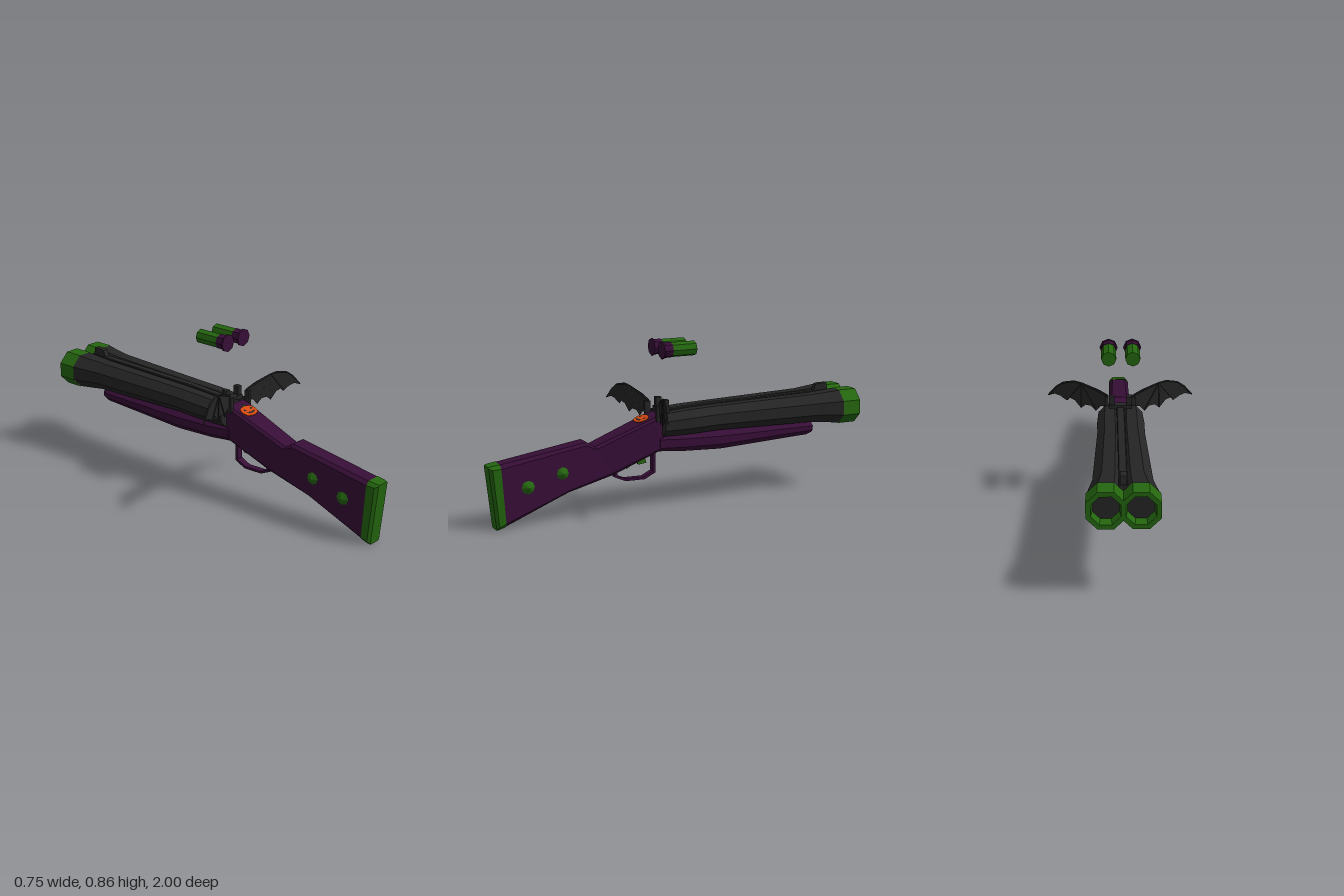
import * as THREE from 'three';

const mat = (name, color, side = THREE.FrontSide) => {
  const m = new THREE.MeshStandardMaterial({ color, flatShading: true, side });
  m.name = name;
  return m;
};

// Skin a list of rings running toward -z; each ring is counter-clockwise seen from +z
function loft(rings, capped = true) {
  const out = [];
  const tri = (...p) => p.forEach(v => out.push(...v));
  const n = rings[0].length;
  for (let i = 0; i < rings.length - 1; i++) {
    for (let j = 0; j < n; j++) {
      const k = (j + 1) % n;
      const [a, b, c, d] = [rings[i][j], rings[i][k], rings[i + 1][k], rings[i + 1][j]];
      tri(a, d, c);
      tri(a, c, b);
    }
  }
  if (capped) {
    const s = rings[0], e = rings[rings.length - 1];
    for (let j = 1; j < n - 1; j++) {
      tri(s[0], s[j], s[j + 1]);
      tri(e[0], e[j + 1], e[j]);
    }
  }
  const g = new THREE.BufferGeometry();
  g.setAttribute('position', new THREE.Float32BufferAttribute(out, 3));
  g.computeVertexNormals();
  return g;
}

// Chamfered box section, slanted between a top and a bottom point
function section(zt, yt, zb, yb, w, c = 0.012) {
  const d = c / (yt - yb), i = w - c;
  return [[i, 0], [w, d], [w, 1 - d], [i, 1], [-i, 1], [-w, 1 - d], [-w, d], [-i, 0]]
    .map(([x, t]) => [x, yb + (yt - yb) * t, zb + (zt - zb) * t]);
}

// Octagonal ring with flat sides; r is measured to the flats
function octagon(z, cx, cy, r) {
  const R = r / Math.cos(Math.PI / 8);
  return Array.from({ length: 8 }, (_, i) => {
    const a = (i + 0.5) * Math.PI / 4;
    return [cx + R * Math.cos(a), cy + R * Math.sin(a), z];
  });
}

const shapeOf = pts => new THREE.Shape(pts.map(p => new THREE.Vector2(...p)));

// Extrude a [z, y] side outline, centred across x
function sidePlate(pts, width, hole) {
  const flip = list => list.map(([z, y]) => [-z, y]);
  const s = shapeOf(flip(pts));
  if (hole) s.holes.push(shapeOf(flip(hole)));
  const g = new THREE.ExtrudeGeometry(s, { depth: width, bevelEnabled: false });
  return g.translate(0, 0, -width / 2).rotateY(Math.PI / 2);
}

export function createModel() {
  const purple = mat('purple', 0x370e37);
  const green = mat('green', 0x24660f);
  const black = mat('black', 0x252525);
  const wingBlack = mat('wing black', 0x252525, THREE.DoubleSide);
  const orange = mat('orange', 0xd64a10, THREE.DoubleSide);

  const model = new THREE.Group();
  model.name = 'doubleBarrelGun';
  const add = (name, geo, m, parent = model) => {
    const mesh = new THREE.Mesh(geo, m);
    mesh.name = name;
    parent.add(mesh);
    return mesh;
  };
  const box = (name, w, h, d, x, y, z, m) =>
    add(name, new THREE.BoxGeometry(w, h, d).translate(x, y, z), m);

  // Stock, butt plate and fore-end
  add('stock', loft([
    section(0.945, 0.325, 0.925, 0.017, 0.053, 0.018),
    section(0.5, 0.392, 0.6, 0.15, 0.054, 0.014),
    section(0.46, 0.365, 0.36, 0.213, 0.055, 0.012),
    section(0.14, 0.485, 0.12, 0.31, 0.07, 0.012),
    section(0.1, 0.495, 0.1, 0.31, 0.07, 0.012),
  ]), purple);
  add('buttPlate', loft([
    section(1, 0.318, 0.967, 0.002, 0.036, 0.006),
    section(0.985, 0.322, 0.955, 0.005, 0.05, 0.016),
    section(0.943, 0.327, 0.923, 0.016, 0.054, 0.018),
  ]), green);
  add('foreEnd', loft([
    section(0.12, 0.39, 0.12, 0.31, 0.075, 0.018),
    section(0, 0.392, 0, 0.3, 0.09, 0.025),
    section(-0.22, 0.392, -0.22, 0.29, 0.095, 0.03),
    section(-0.74, 0.385, -0.74, 0.312, 0.085, 0.025),
    section(-0.775, 0.37, -0.775, 0.32, 0.065, 0.015),
  ]), purple);

  for (const s of [1, -1]) {
    // Barrels with flared green muzzles
    add('barrel', loft([
      [0.105, 0.055, 0.445, 0.057], [-0.05, 0.055, 0.45, 0.063],
      [-0.2, 0.054, 0.455, 0.063], [-0.75, 0.065, 0.458, 0.073],
      [-0.905, 0.077, 0.457, 0.087],
    ].map(([z, x, y, r]) => octagon(z, s * x, y, r))), black);
    add('muzzleRing', loft([
      [-0.9, 0.089], [-1, 0.089], [-1, 0.067], [-0.95, 0.06],
    ].map(([z, r]) => octagon(z, s * 0.078, 0.457, r)), false), green);
    add('bore', new THREE.CircleGeometry(0.068, 8, Math.PI / 8)
      .rotateY(Math.PI).translate(s * 0.078, 0.457, -0.951), black);

    // Rear sight posts and wing hinges
    box('rearSightPost', 0.028, 0.085, 0.03, s * 0.044, 0.525, 0.078, black);
    box('wingHinge', 0.018, 0.08, 0.03, s * 0.069, 0.505, 0.125, black);

    // Pointed studs on the stock
    for (const [z, y, r] of [[0.81, 0.203, 0.038], [0.632, 0.253, 0.036]]) {
      add('stud', new THREE.ConeGeometry(r, 0.022, 8)
        .rotateZ(-s * Math.PI / 2).translate(s * 0.062, y, z), green);
    }

    // Floating cartridges
    add('cartridgeCase', new THREE.CylinderGeometry(0.037, 0.037, 0.15, 8)
      .rotateX(Math.PI / 2).translate(s * 0.059, 0.82, 0), green);
    add('cartridgeCap', new THREE.CylinderGeometry(0.039, 0.039, 0.045, 8)
      .rotateX(Math.PI / 2).translate(s * 0.059, 0.82, 0.0775), purple);
    add('cartridgeRim', new THREE.CylinderGeometry(0.045, 0.045, 0.008, 8)
      .rotateX(Math.PI / 2).translate(s * 0.059, 0.82, 0.1), purple);

    // Bat wing: a scalloped membrane swept backward, with finger bones
    const wing = new THREE.Group();
    wing.name = s > 0 ? 'leftWing' : 'rightWing';
    wing.scale.x = s;
    model.add(wing);
    const sweep = x => 0.12 + 0.32 * (x - 0.06);
    const membrane = new THREE.ShapeGeometry(shapeOf([
      [0.06, 0.555], [0.11, 0.58], [0.195, 0.608], [0.235, 0.615], [0.293, 0.602],
      [0.33, 0.574], [0.375, 0.516], [0.338, 0.53], [0.312, 0.523], [0.275, 0.5],
      [0.262, 0.517], [0.235, 0.507], [0.202, 0.467], [0.178, 0.488], [0.15, 0.485],
      [0.125, 0.46], [0.1, 0.49], [0.06, 0.49],
    ]));
    const p = membrane.attributes.position;
    for (let i = 0; i < p.count; i++) p.setZ(i, sweep(p.getX(i)));
    membrane.computeVertexNormals();
    add('membrane', membrane, wingBlack, wing);
    const bone = pts => {
      for (let i = 0; i < pts.length - 1; i++) {
        const [a, b] = [pts[i], pts[i + 1]].map(([x, y]) => new THREE.Vector3(x, y, sweep(x)));
        add('wingBone', new THREE.TubeGeometry(new THREE.LineCurve3(a, b), 1, 0.004, 4), black, wing);
      }
    };
    bone([[0.06, 0.55], [0.195, 0.604], [0.235, 0.611], [0.293, 0.598], [0.33, 0.57], [0.372, 0.519]]);
    for (const tip of [[0.275, 0.503], [0.202, 0.471], [0.125, 0.464]]) bone([[0.2, 0.604], tip]);
  }

  // Rib between the barrels and the sights
  add('topRib', loft([
    section(0.105, 0.508, 0.105, 0.44, 0.02, 0.004),
    section(-0.2, 0.524, -0.2, 0.44, 0.02, 0.004),
    section(-0.9, 0.534, -0.9, 0.44, 0.02, 0.004),
  ]), black);
  box('rearSightBase', 0.115, 0.035, 0.04, 0, 0.505, 0.08, black);
  add('frontSight', sidePlate([[-0.8, 0.52], [-0.82, 0.565], [-0.835, 0.57],
    [-0.885, 0.57], [-0.895, 0.52]], 0.028), black);

  // Trigger guard and two triggers
  add('triggerGuard', sidePlate(
    [[0.342, 0.245], [0.342, 0.19], [0.285, 0.165], [0.18, 0.163], [0.12, 0.192], [0.12, 0.32]], 0.036,
    [[0.33, 0.24], [0.33, 0.197], [0.282, 0.177], [0.184, 0.175], [0.133, 0.2], [0.133, 0.305]]), purple);
  add('rearTrigger', sidePlate([[0.32, 0.25], [0.25, 0.27], [0.258, 0.235], [0.275, 0.225], [0.32, 0.24]], 0.016), green);
  add('frontTrigger', sidePlate([[0.225, 0.29], [0.185, 0.3], [0.165, 0.245], [0.21, 0.24]], 0.016), green);

  // Pumpkin face lying on the sloped wrist
  const pumpkin = new THREE.Group();
  pumpkin.name = 'pumpkinFace';
  pumpkin.position.set(0, 0.471, 0.19);
  pumpkin.rotation.x = -Math.PI / 2 + Math.atan(0.375);
  model.add(pumpkin);
  const outline = Array.from({ length: 16 }, (_, i) => {
    const a = i * Math.PI / 8, r = i % 4 === 2 ? 1.06 : 1;
    return [0.05 * r * Math.cos(a), 0.037 * r * Math.sin(a)];
  });
  add('pumpkin', new THREE.ExtrudeGeometry(shapeOf(outline), { depth: 0.004, bevelEnabled: false }), orange, pumpkin);
  const detail = (name, pts, m) =>
    add(name, new THREE.ShapeGeometry(shapeOf(pts)).translate(0, 0, 0.0055), m, pumpkin);
  for (const s of [1, -1]) {
    const eye = [[s * 0.012, 0.003], [s * 0.034, 0.003], [s * 0.024, 0.018]];
    detail('eye', s > 0 ? eye : eye.reverse(), black);
  }
  detail('mouth', [[-0.034, -0.006], [-0.02, -0.02], [0, -0.024], [0.02, -0.02], [0.034, -0.006],
    [0.016, -0.012], [0.008, -0.009], [0, -0.015], [-0.008, -0.009], [-0.016, -0.012]], black);
  detail('stem', [[-0.006, 0.034], [0.006, 0.034], [0.004, 0.05], [-0.004, 0.05]], green);

  return model;
}
